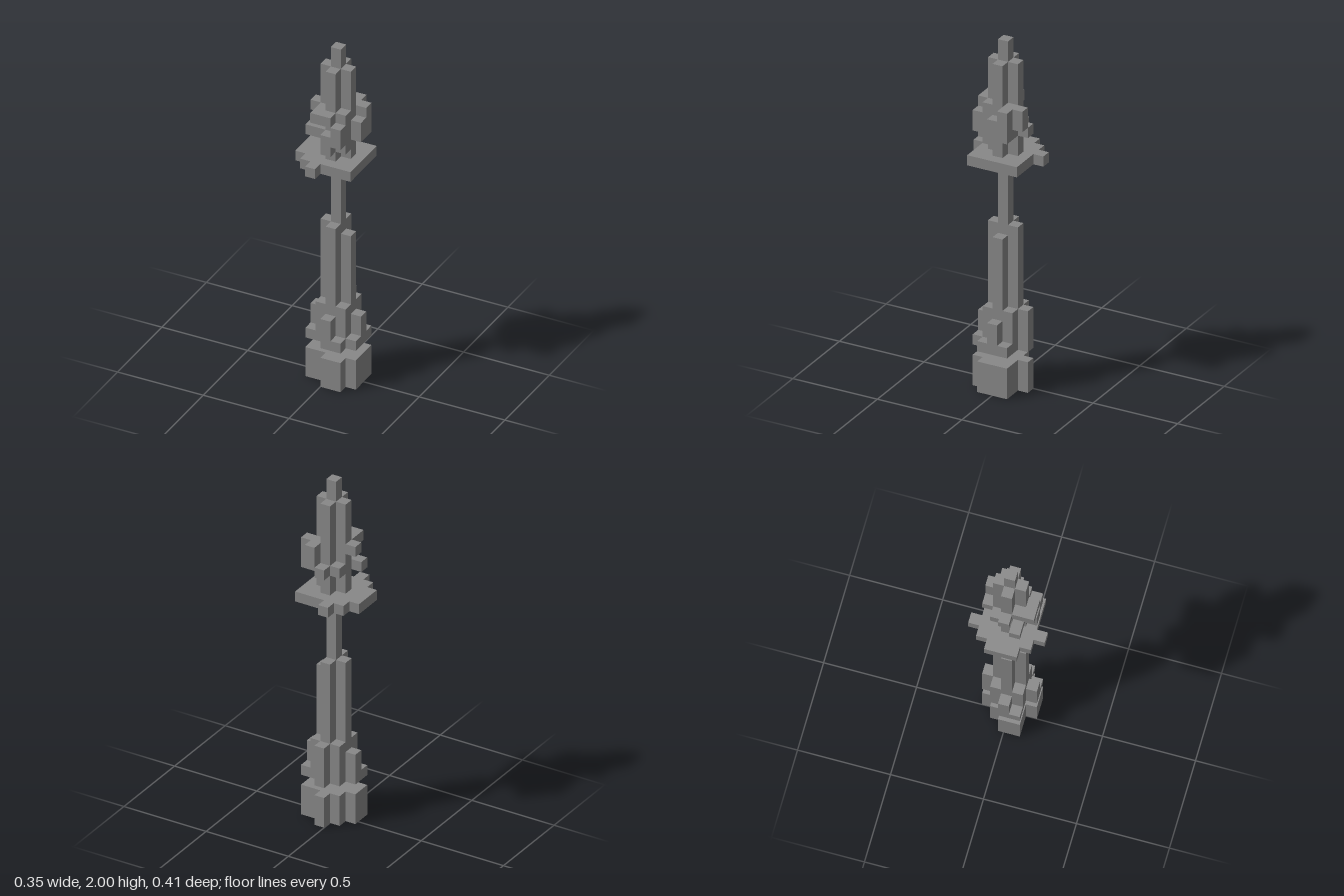
import * as THREE from 'three';

// Everything sits on a cubic grid: x cells start at 0, z cells are centred on 0.
const U = 2 / 34;

export function createModel() {
  const tower = new THREE.Group();
  tower.name = 'tower';
  const stone = new THREE.MeshStandardMaterial({ color: 0x888888 });
  stone.name = 'greyStone';

  // Box over x cells i0..i1 and z cells k0..k1 (inclusive), from level y0 to y1.
  function block(parent, name, i0, i1, k0, k1, y0, y1) {
    const w = i1 - i0 + 1, d = k1 - k0 + 1, h = y1 - y0;
    const mesh = new THREE.Mesh(new THREE.BoxGeometry(w * U, h * U, d * U), stone);
    mesh.position.set((i0 + w / 2) * U, (y0 + h / 2) * U, ((k0 + k1) / 2) * U);
    mesh.name = name;
    parent.add(mesh);
  }

  function section(name, blocks) {
    const group = new THREE.Group();
    group.name = name;
    for (const [part, ...cells] of blocks) block(group, part, ...cells);
    tower.add(group);
  }

  // Stepped footprint shared by the plinth and the foot above the gap
  const footprint = (name, y0, y1) => [
    [name + 'Front', 0, 1, 2, 2, y0, y1],
    [name + 'Middle', -2, 2, 0, 1, y0, y1],
    [name + 'Rear', -1, 2, -1, -1, y0, y1],
    [name + 'RearTab', 0, 0, -2, -2, y0, y1],
  ];
  section('plinth', footprint('plinth', 0, 3));
  section('foot', footprint('foot', 4, 5));

  // Short buttresses rising from the foot
  section('buttresses', [
    ['frontButtress', 0, 0, 2, 2, 5, 7],
    ['leftButtress', 2, 2, 0, 0, 5, 7],
    ['rightButtress', -2, -2, 0, 0, 5, 7],
    ['rearButtress', 0, 0, -2, -2, 5, 8],
    ...[[-1, 1], [1, 1], [-1, -1], [1, -1]].map(([i, k]) => ['cornerButtress', i, i, k, k, 5, 8]),
  ]);

  // Core column with cross-shaped lower shaft and spire
  section('shaft', [
    ['core', 0, 0, 0, 0, 4, 34],
    ['leftRib', 1, 1, 0, 0, 5, 15],
    ['rightRib', -1, -1, 0, 0, 5, 16],
    ['frontRib', 0, 0, 1, 1, 5, 16],
    ['rearRib', 0, 0, -1, -1, 5, 16],
  ]);
  section('spire', [[1, 0], [-1, 0], [0, 1], [0, -1]].map(([i, k]) => ['spireRib', i, i, k, k, 23, 32]));

  // Flat platform with tabs
  section('platform', [
    ['deck', -2, 2, -2, 2, 22, 23],
    ['rightTab', -3, -3, -1, 1, 22, 23],
    ['frontTab', -1, -1, 3, 3, 22, 23],
    ['rearTab', -1, -1, -3, -3, 22, 23],
  ]);

  // Irregular blocks clustered around the spire
  section('cluster', [
    ['frontLedge', -1, 0, 2, 2, 27, 28],
    ['frontLedgeRoot', -1, -1, 1, 1, 27, 28],
    ['frontLowBlock', 0, 0, 2, 2, 24, 26],
    ['frontLeftBlock', 1, 1, 2, 2, 25, 27],
    ['frontLeftCorner', 1, 1, 1, 1, 24, 28],
    ['leftBlock', 2, 2, 0, 0, 25, 27],
    ['leftRearBlock', 2, 2, -1, -1, 25, 28],
    ['rearLeftCorner', 1, 1, -1, -1, 25, 28],
    ['rearHighBlock', 1, 1, -2, -2, 26, 28],
    ['rearLowBlock', 0, 0, -2, -2, 25, 26],
    ['rearRightBlock', -1, -1, -1, -1, 25, 26],
    ['rightLowBlock', -2, -1, 1, 1, 25, 26],
    ['rightHighBlock', -2, -2, 0, 0, 27, 28],
  ]);

  return tower;
}
